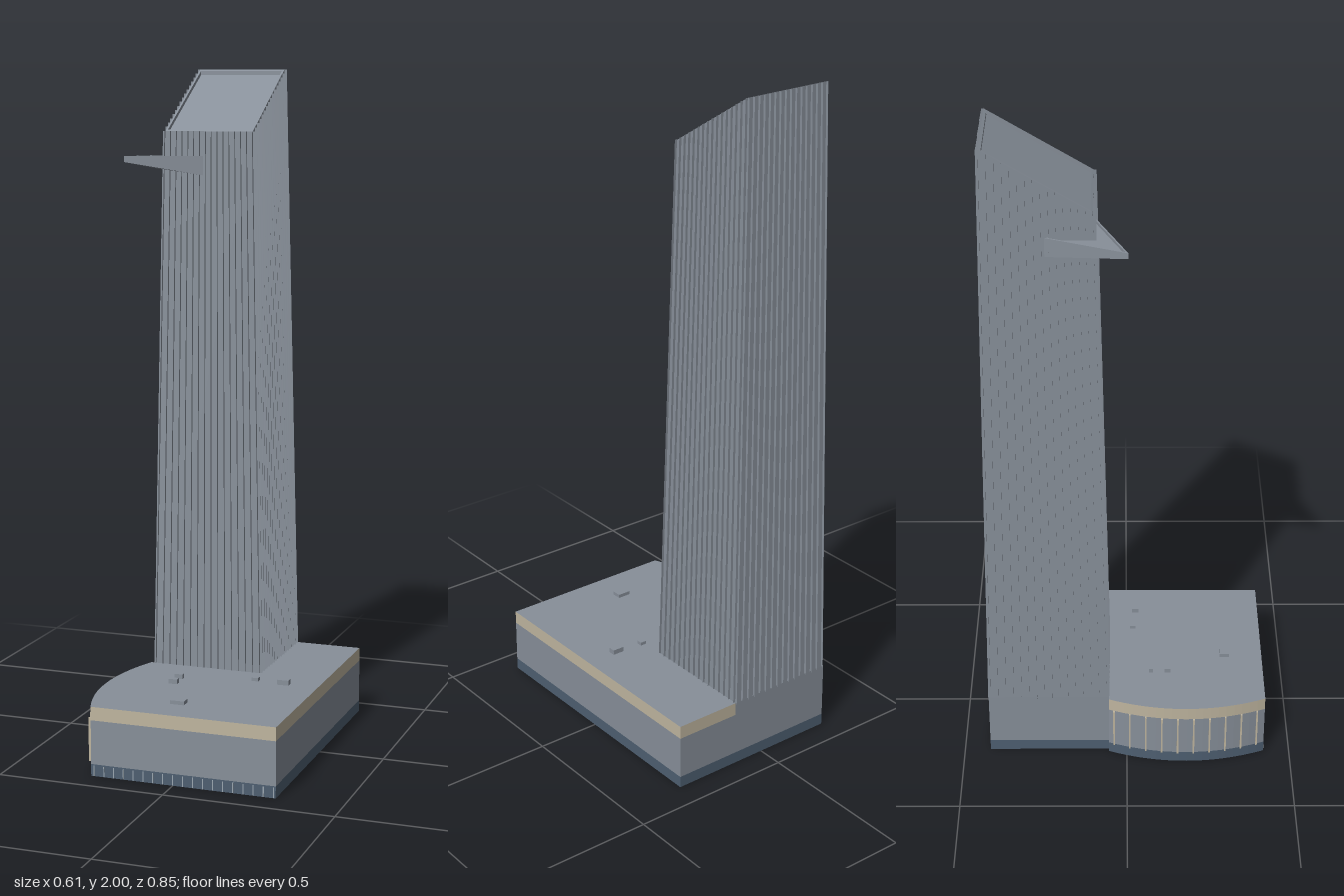
import * as THREE from 'three';

const mat = (name, color, side = THREE.FrontSide) => {
  const m = new THREE.MeshStandardMaterial({ color, side });
  m.name = name;
  return m;
};

// Flat-shaded geometry from a list of four-cornered faces
function quads(list) {
  const pos = [];
  for (const [a, b, c, d] of list) pos.push(...a, ...b, ...c, ...a, ...c, ...d);
  const g = new THREE.BufferGeometry();
  g.setAttribute('position', new THREE.Float32BufferAttribute(pos, 3));
  g.computeVertexNormals();
  return g;
}

// Closed skin through loops of equal length (anticlockwise from above), capped at both ends
function loft(loops) {
  const faces = [], n = loops[0].length;
  for (let k = 0; k < loops.length - 1; k++) {
    const a = loops[k], b = loops[k + 1];
    for (let i = 0; i < n; i++) {
      const j = (i + 1) % n;
      faces.push([a[i], a[j], b[j], b[i]]);
    }
  }
  const cap = (l) => faces.push([l[0], l[1], l[2], l[3] ?? l[0]]);
  cap([...loops[0]].reverse());
  cap(loops[loops.length - 1]);
  return quads(faces);
}

// Upright wall along a plan path of [x, z] points
const wall = (path, y0, y1) => quads(path.slice(1).map((q, i) => {
  const p = path[i];
  return [[p[0], y0, p[1]], [q[0], y0, q[1]], [q[0], y1, q[1]], [p[0], y1, p[1]]];
}));

const rect = (x0, x1, z0, z1, yFront, yBack = yFront) => [
  [x0, yFront, z1], [x1, yFront, z1], [x1, yBack, z0], [x0, yBack, z0],
];
const lerp = (a, b, t) => a.map((v, i) => v + (b[i] - v) * t);

export function createModel() {
  const model = new THREE.Group();
  const grey = mat('wallGrey', 0x878f99, THREE.DoubleSide);
  const beige = mat('stoneBeige', 0xbfb59f, THREE.DoubleSide);
  const blue = mat('plinthBlue', 0x4e5f71, THREE.DoubleSide);
  const pale = mat('mullionPale', 0x9aa6b0);
  const add = (name, geo, material, parent = model) => {
    const m = new THREE.Mesh(geo, material);
    m.name = name;
    parent.add(m);
    return m;
  };
  const box = (name, w, h, d, x, y, z, material, parent) => {
    const m = add(name, new THREE.BoxGeometry(w, h, d), material, parent);
    m.position.set(x, y, z);
    return m;
  };

  // Tapered tower with a slanted, recessed roof inside a raised rim
  const bottom = rect(-0.237, 0.098, -0.415, -0.06, 0.2);
  const top = rect(-0.212, 0.06, -0.386, -0.09, 1.818, 1.998);
  const rim = rect(-0.206, 0.054, -0.379, -0.096, 1.822, 1.994);
  const recess = rim.map(([x, y, z]) => [x, y - 0.012, z]);
  add('tower', loft([bottom, top, rim, recess]), grey);

  // Thin upright fins on all four faces
  const outward = [[0, 0, 1], [1, 0, 0], [0, 0, -1], [-1, 0, 0]];
  const fins = [], finCount = 15, depth = 0.0075;
  outward.forEach((n, f) => {
    const g = (f + 1) % 4;
    for (let i = 0; i <= finCount; i++) {
      const t = i / finCount;
      const b = lerp(bottom[f], bottom[g], t), u = lerp(top[f], top[g], t);
      const out = (p) => p.map((v, k) => v + n[k] * depth);
      fins.push([b, out(b), out(u), u]);
    }
  });
  add('towerFins', quads(fins), grey);

  // Open-bottomed tower base, with a plinth on its outer sides
  const [bx0, bx1, bz0, bz1] = [-0.241, 0.101, -0.421, -0.055];
  add('towerBaseOuter', wall([[bx1, bz0], [bx0, bz0], [bx0, bz1]].reverse(), 0.035, 0.205), grey);
  add('towerBaseInner', wall([[bx0, bz1], [bx1, bz1], [bx1, bz0]], 0, 0.205), grey);
  add('towerPlinth', wall([[bx0, bz1], [bx0, bz0], [bx1, bz0]], 0, 0.035), blue);

  // Pointed balcony wedge near the top corner
  const tri = [[-0.306, 0.004], [-0.093, -0.086], [-0.216, -0.22]];
  const center = [-0.205, -0.1];
  const level = (ys, s = 1) => tri.map(([x, z], i) => [
    center[0] + (x - center[0]) * s, ys[i], center[1] + (z - center[1]) * s,
  ]);
  const flat = (y) => [y, y, y];
  add('cornerBalcony', loft([
    level([1.729, 1.69, 1.69]), level(flat(1.746)), level(flat(1.746), 0.92), level(flat(1.738), 0.92),
  ]), grey);

  // Podium: hollow shell with one bowed side
  const bow = (z) => -0.298 + 0.048 * ((z - 0.18) / 0.24) ** 2;
  const curve = [];
  for (let i = 0; i <= 20; i++) {
    const z = 0.421 - (0.476 * i) / 20;
    curve.push([bow(z), z]);
  }
  // The wall runs from the tower's back corner round to its front corner
  const path = [[bx1, bz0], [0.306, bz0], [0.306, 0.421], ...curve, [bx0, bz1]];
  const podium = new THREE.Group();
  podium.name = 'podium';
  model.add(podium);
  const counterClockwise = [...path].reverse();
  add('podiumPlinth', wall(counterClockwise, 0, 0.035), blue, podium);
  add('podiumWall', wall(counterClockwise, 0.035, 0.165), grey, podium);
  add('podiumBand', wall(counterClockwise, 0.165, 0.205), beige, podium);
  const outline = [...path, [bx1, bz1]];
  const deck = new THREE.ShapeGeometry(new THREE.Shape(outline.map(([x, z]) => new THREE.Vector2(x, -z))));
  deck.rotateX(-Math.PI / 2).translate(0, 0.205, 0);
  add('podiumDeck', deck, grey, podium);

  // Stone blades on the bowed side
  for (let i = 0; i < 10; i++) {
    const z = 0.397 - i * 0.0485;
    box('bowedSideBlade', 0.01, 0.13, 0.005, bow(z) - 0.002, 0.1, z, beige, podium);
  }

  // Pale mullions along the front plinth
  for (let i = 0; i < 19; i++) {
    box('frontMullion', 0.003, 0.03, 0.003, -0.24 + i * 0.03, 0.016, 0.421, pale, podium);
  }

  // Small service boxes on the deck: x, z, width, depth, height
  [
    [0.111, 0.019, 0.02, 0.018, 0.01], [0.201, 0.028, 0.036, 0.022, 0.015],
    [-0.111, 0.075, 0.025, 0.012, 0.014], [-0.109, 0.126, 0.026, 0.018, 0.014],
    [-0.025, 0.305, 0.042, 0.03, 0.011],
  ].forEach(([x, z, w, d, h]) => box('serviceBox', w, h, d, x, 0.205 + h / 2, z, grey, podium));

  return model;
}
